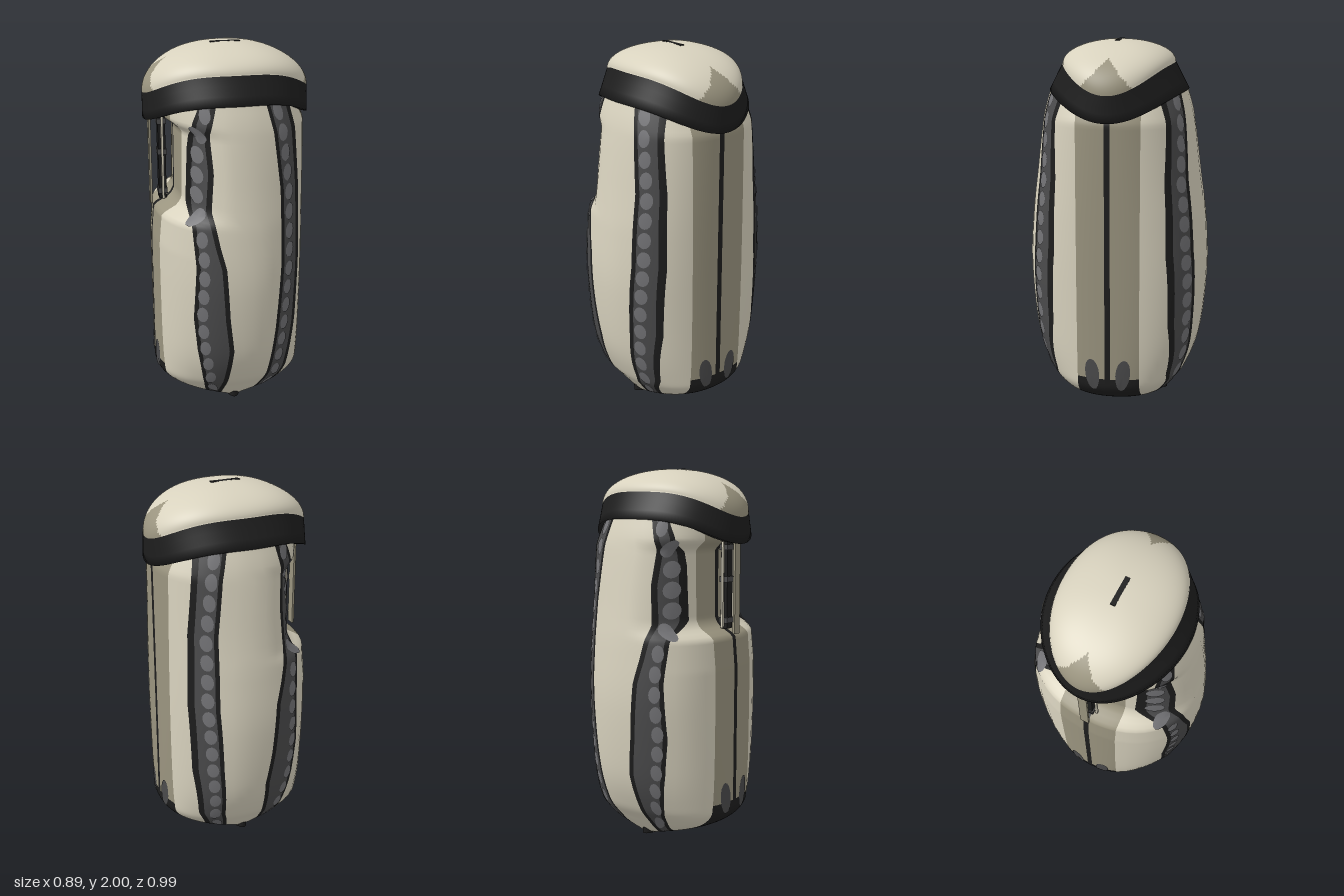
import * as THREE from 'three';

const mat = (name, color) => {
  const m = new THREE.MeshStandardMaterial({ color });
  m.name = name;
  return m;
};
const MATS = [
  mat('cream', 0xd8d2be), mat('darkCream', 0x9a947f), mat('black', 0x1d1d1d),
  mat('darkGrey', 0x4b4b4c), mat('lightGrey', 0x737376),
];
const [CREAM, DARK, BLACK, GREY, LIGHT] = [0, 1, 2, 3, 4];

// Linear interpolation through [y, value] pairs
function curve(pts) {
  return (y) => {
    if (y <= pts[0][0]) return pts[0][1];
    for (let i = 1; i < pts.length; i++) {
      const [y0, v0] = pts[i - 1], [y1, v1] = pts[i];
      if (y <= y1) return v0 + (v1 - v0) * (y - y0) / (y1 - y0);
    }
    return pts[pts.length - 1][1];
  };
}

// Closed grid of rows and columns, with one material per cell
function gridMesh(name, rows, cols, point, cellMat) {
  const pos = [], lists = MATS.map(() => []);
  for (let i = 0; i <= rows; i++) for (let j = 0; j < cols; j++) pos.push(...point(i, j));
  for (let i = 0; i < rows; i++) for (let j = 0; j < cols; j++) {
    const k = (j + 1) % cols;
    const a = i * cols + j, b = i * cols + k, c = b + cols, d = a + cols;
    lists[cellMat(i, j, pos.slice(a * 3, a * 3 + 3))].push(a, d, c, a, c, b);
  }
  const geo = new THREE.BufferGeometry();
  geo.setAttribute('position', new THREE.Float32BufferAttribute(pos, 3));
  geo.setIndex(lists.flat());
  let start = 0;
  lists.forEach((l, m) => { if (l.length) geo.addGroup(start, l.length, m); start += l.length; });
  geo.computeVertexNormals();
  const mesh = new THREE.Mesh(geo, MATS);
  mesh.name = name;
  return mesh;
}

// Body outline: half depth, and half width on the plain and on the pinched side
const N = 2.2;
const depth = new THREE.SplineCurve([[0.25, 0], [0.33, 0.1], [0.4, 0.2], [0.465, 0.4], [0.497, 0.75],
  [0.482, 1.05], [0.45, 1.3], [0.408, 1.6], [0.37, 1.74]].map((p) => new THREE.Vector2(...p)))
  .getPoints(80).map((p) => [p.y, p.x]);
const halfZ = curve(depth);
const topWidth = curve([[1.6, 0.415], [1.74, 0.35]]);
const pinch = curve([[0.95, 0.415], [1.12, 0.4], [1.17, 0.31], [1.21, 0.287], [1.58, 0.285], [1.63, 0.35], [1.74, 0.35]]);
const bottom = (y) => (y < 0.17 ? Math.sqrt(1 - (1 - y / 0.17) ** 2) : 1);
const halfX = (y, left) => bottom(y) * (left ? topWidth(y) : pinch(y));

function surface(phi, y, grow = 0) {
  const c = Math.cos(phi), s = Math.sin(phi);
  const a = halfX(y, c > 0) + grow, b = halfZ(y) + grow;
  return [a * Math.sign(c) * Math.abs(c) ** (2 / N), y, b * Math.sign(s) * Math.abs(s) ** (2 / N)];
}
const phiX = (x, y) =>
  Math.acos(Math.sign(x) * Math.min(1, Math.abs(x) / halfX(y, x > 0)) ** (N / 2));
const phiZ = (z, y) => Math.asin(Math.min(1, z / halfZ(y)) ** (N / 2));

// Edges of the two long grips on the front (repeated on the back)
const leftOut = curve([[0.02, 0.17], [0.06, 0.22], [0.2, 0.29], [0.5, 0.33], [0.9, 0.345], [1.3, 0.335], [1.6, 0.31], [1.74, 0.28]]);
const leftIn = curve([[0.02, 0.1], [0.2, 0.16], [0.5, 0.19], [0.9, 0.215], [1.3, 0.21], [1.6, 0.175], [1.74, 0.14]]);
const rightIn = curve([[0.02, -0.08], [0.2, -0.06], [0.4, -0.045], [0.6, -0.07], [0.9, -0.09], [1.02, -0.12],
  [1.2, -0.155], [1.4, -0.14], [1.6, -0.155], [1.74, -0.12]]);
const rightOut = curve([[0.02, -0.16], [0.2, -0.2], [0.4, -0.235], [0.6, -0.255], [0.9, -0.24], [1.2, -0.26],
  [1.5, -0.25], [1.65, -0.235], [1.74, -0.2]]);

// Panel boundaries as angles, from the +x seam round the front to the -x seam
function bounds(y) {
  const l1 = leftOut(y), l0 = leftIn(y), r1 = rightIn(y), r0 = rightOut(y);
  const list = [0, phiZ(0.015, y), phiZ(0.17, y), phiX(l1, y), phiX(l1 - 0.025, y), phiX(l0 + 0.02, y),
    phiX(l0, y), phiX(r1, y), phiX(r1 - 0.025, y), phiX(r0 + 0.02, y), phiX(r0, y),
    Math.PI - phiZ(0.17, y), Math.PI - phiZ(0.015, y), Math.PI];
  for (let i = 1; i < list.length; i++) list[i] = Math.max(list[i], list[i - 1]);
  return list;
}
const PANELS = [BLACK, DARK, CREAM, BLACK, GREY, BLACK, CREAM, BLACK, GREY, BLACK, CREAM, DARK, BLACK];

function makeBody() {
  const rows = 120, seg = 5, half = PANELS.length * seg;
  const rowY = (i) => 0.002 + 1.738 * (i / rows) ** 1.3;
  const cache = Array.from({ length: rows + 1 }, (_, i) => bounds(rowY(i)));
  const point = (i, j) => {
    const back = j > half, k = back ? 2 * half - j : j;
    const p = Math.min(Math.floor(k / seg), PANELS.length - 1), t = k / seg - p;
    const phi = cache[i][p] + (cache[i][p + 1] - cache[i][p]) * t;
    return surface(back ? -phi : phi, rowY(i));
  };
  return gridMesh('body', rows, 2 * half, point, (i, j) => {
    const k = j >= half ? 2 * half - 1 - j : j;
    const m = PANELS[Math.floor(k / seg)];
    return m === DARK && rowY(i) < 0.2 ? BLACK : m;
  });
}

// Thin oval lying on the body surface
function oval(name, phi, dPhi, y, ry, material, sides = 16) {
  const pos = [...surface(phi, y, 0.006)], idx = [];
  for (let i = 0; i < sides; i++) {
    const t = (i / sides) * Math.PI * 2;
    pos.push(...surface(phi - dPhi * Math.cos(t), y + ry * Math.sin(t), 0.004));
    idx.push(0, 1 + i, 1 + (i + 1) % sides);
  }
  const geo = new THREE.BufferGeometry();
  geo.setAttribute('position', new THREE.Float32BufferAttribute(pos, 3));
  geo.setIndex(idx);
  geo.computeVertexNormals();
  const mesh = new THREE.Mesh(geo, material);
  mesh.name = name;
  return mesh;
}

// Domed cap whose rim dips towards both sides
function makeCap() {
  const cols = 160, band = 4, dome = 28;
  const point = (i, j) => {
    const t = (j / cols) * Math.PI * 2, c = Math.cos(t), s = Math.sin(t);
    const rim = 1.74 - 0.13 * Math.abs(c) ** 3;
    if (i === 0) return [0.38 * c, rim + 0.005, 0.33 * s];
    if (i <= band) {
      const u = (i - 1) / (band - 1);
      return [0.445 * c, rim + 0.14 * u, (0.375 - 0.075 * u) * s];
    }
    const v = ((i - band) / dome) * Math.PI / 2, r = Math.max(Math.cos(v), 0.001);
    return [0.445 * r * c, rim + 0.14 + (1.86 - rim) * Math.sin(v), 0.3 * r * s];
  };
  return gridMesh('cap', band + dome, cols, point, (i, j, [x, y, z]) => {
    if (i < band) return BLACK;
    return Math.abs(x) > 0.33 && Math.abs(z) < (1.92 - y) * 0.95 ? DARK : CREAM;
  });
}

export function createModel() {
  const model = new THREE.Group();
  model.add(makeBody(), makeCap());
  const add = (name, geo, material, x, y, z) => {
    const mesh = new THREE.Mesh(geo, material);
    mesh.name = name;
    mesh.position.set(x, y, z);
    model.add(mesh);
    return mesh;
  };

  // Rows of studs along the grips, front and back
  for (const side of [1, -1]) {
    for (let i = 0; i < 16; i++) {
      const y = 0.1 + i * 0.1065;
      for (const x of [leftIn(y) + 0.052, rightOut(y) + 0.042]) {
        const p0 = phiX(x + 0.027, y), p1 = phiX(x - 0.027, y);
        model.add(oval('gripStud', side * (p0 + p1) / 2, (p1 - p0) / 2, y, 0.045, MATS[LIGHT]));
      }
    }
    // Grey tips above the black lower corners
    for (const end of [0, Math.PI]) {
      const p = phiZ(0.085, 0.24), phi = end ? Math.PI - p : p;
      model.add(oval('cornerTip', side * phi, 0.09, 0.23, 0.09, MATS[GREY]));
    }
  }

  // Foot: a narrow bar running front to back
  const foot = add('foot', new THREE.CylinderGeometry(1, 1, 0.05, 40), [MATS[BLACK], MATS[BLACK], MATS[CREAM]], 0, 0.025, 0);
  foot.scale.set(0.065, 1, 0.28);

  // Slim slotted handle bridging the pinched side
  add('handleBar', new THREE.BoxGeometry(0.04, 0.47, 0.05), MATS[BLACK], -0.35, 1.39, 0);
  add('handleRail', new THREE.BoxGeometry(0.012, 0.5, 0.05), MATS[DARK], -0.413, 1.38, 0);
  for (const y of [1.2, 1.42, 1.59])
    add('handleRib', new THREE.BoxGeometry(0.05, 0.03, 0.065), MATS[GREY], -0.35, y, 0);
  for (const z of [-0.04, 0.04])
    add('handleFrame', new THREE.BoxGeometry(0.012, 0.46, 0.012), MATS[CREAM], -0.35, 1.39, z);

  // Short seam on the crown
  add('crownSeam', new THREE.BoxGeometry(0.16, 0.008, 0.026), MATS[BLACK], 0, 1.996, 0);
  return model;
}
